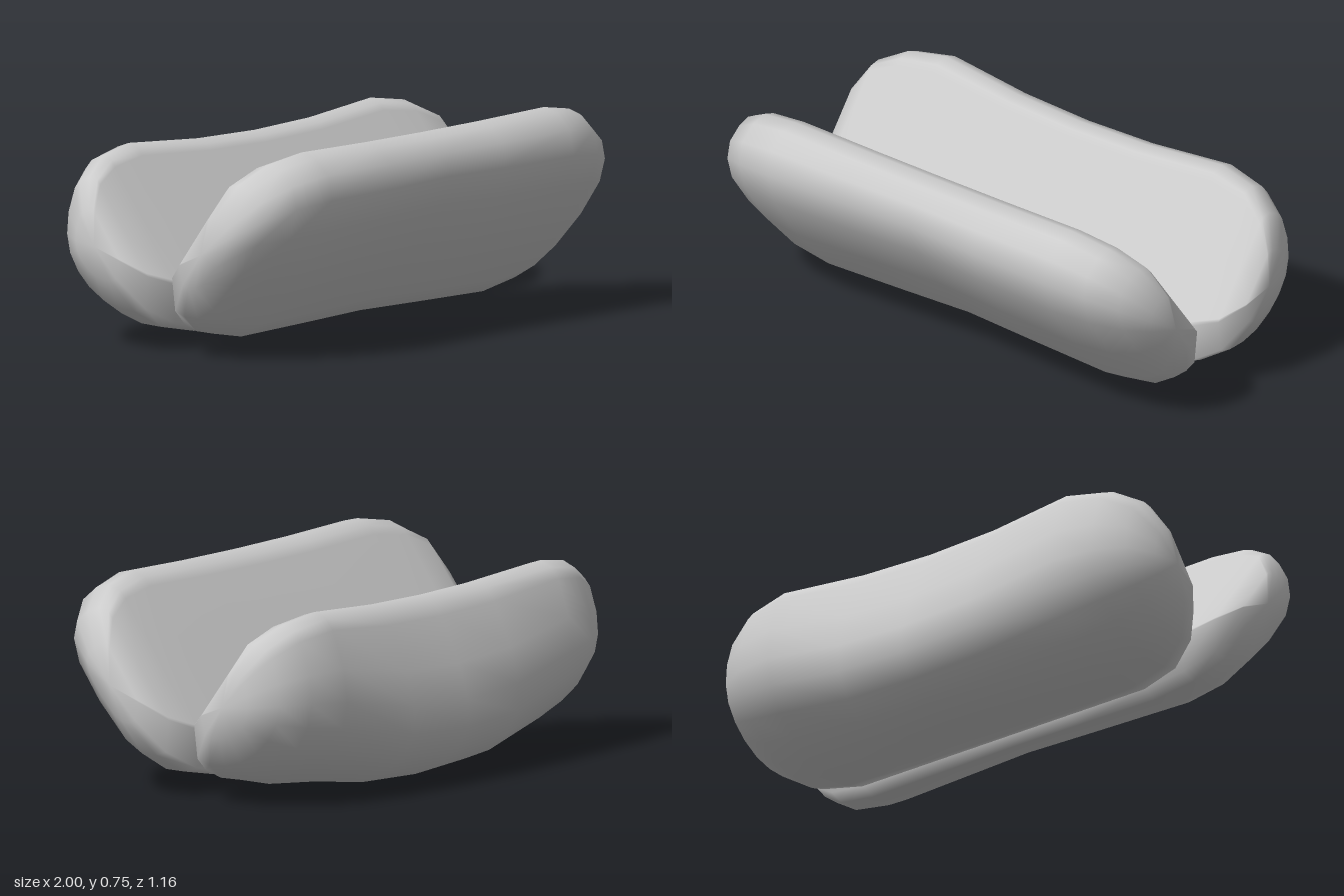
import * as THREE from 'three';
import { mergeVertices } from 'three/addons/utils/BufferGeometryUtils.js';

// Stations along the half length: [x, scale towards the end tip]
const half = [[0, 1], [0.3, 1], [0.65, 1], [0.81, 0.91], [0.92, 0.71], [0.982, 0.37], [1, 0]];
const stations = [
  ...half.slice(1).reverse().map(([x, s], i) => [-x, s, 6 - i]),
  ...half.map(([x, s], i) => [x, s, i]),
];

// Cross-sections as [u, v]: u runs up the flat cut face, v is thickness outwards
const frontProfile = [
  [0, 0], [-0.12, 0.09], [-0.1, 0.15], [-0.046, 0.222], [0.062, 0.268], [0.308, 0.296],
  [0.53, 0.29], [0.647, 0.246], [0.707, 0.176], [0.712, 0.091], [0.688, 0.034],
  [0.64, 0.003], [0.6, 0], [0.3, 0], [0.02, 0],
];
const backProfile = [
  [0, 0], [-0.12, 0.09], [-0.1, 0.186], [-0.046, 0.297], [0.03, 0.39], [0.13, 0.452],
  [0.23, 0.476], [0.334, 0.462], [0.428, 0.404], [0.522, 0.296], [0.612, 0.14],
  [0.626, 0.082], [0.61, 0.028], [0.57, 0], [0.54, 0], [0.3, 0], [0.02, 0],
];

// Loft one half; side = 1 leans to the front, -1 to the back
function bunHalf(profile, { side, tip, bulge, dip }) {
  const pos = [], index = [], n = profile.length;
  for (const [x, s, k] of stations) {
    const sag = dip * Math.max(0, 1 - (x / 0.65) ** 2);
    for (const [u0, v0] of profile) {
      // the rounded back swells or thins along the length, slightly downwards
      const swell = Math.max(0, v0 - 0.1) * (bulge[k] - 1);
      let u = u0 - 0.3 * swell - sag * THREE.MathUtils.smoothstep(u0, 0.3, 0.6);
      let v = v0 + swell;
      // the cut face stays flat almost to the end, the outside closes steadily
      const sv = v < tip[1] ? 1 - (1 - s) ** 2 : s;
      u = tip[0] + (u - tip[0]) * s;
      v = tip[1] + (v - tip[1]) * (s > 0 ? sv : 0);
      pos.push(x, 0.22 + 0.8 * u - 0.6 * v, side * (0.6 * u + 0.8 * v));
    }
  }
  for (let i = 0; i < stations.length - 1; i++) {
    for (let j = 0; j < n; j++) {
      const a = i * n + j, b = i * n + (j + 1) % n, c = b + n, d = a + n;
      if (side > 0) index.push(a, d, c, a, c, b);
      else index.push(a, c, d, a, b, c);
    }
  }
  let geo = new THREE.BufferGeometry();
  geo.setAttribute('position', new THREE.Float32BufferAttribute(pos, 3));
  geo.setIndex(index);
  geo = mergeVertices(geo, 1e-4);
  geo.computeVertexNormals();
  return geo;
}

export function createModel() {
  const group = new THREE.Group();
  group.name = 'splitBun';
  const material = new THREE.MeshStandardMaterial({ color: 0xcccccc });

  // Thin front half
  const front = new THREE.Mesh(bunHalf(frontProfile, {
    side: 1, tip: [0.306, 0.106], dip: 0.012, bulge: [0.88, 0.94, 1, 1, 1, 1, 1],
  }), material);
  front.name = 'frontBunHalf';

  // Thick, bulging back half
  const back = new THREE.Mesh(bunHalf(backProfile, {
    side: -1, tip: [0.27, 0.1], dip: 0.04, bulge: [1.03, 0.98, 0.77, 0.72, 0.7, 0.7, 0.7],
  }), material);
  back.name = 'backBunHalf';

  group.add(front, back);
  return group;
}
